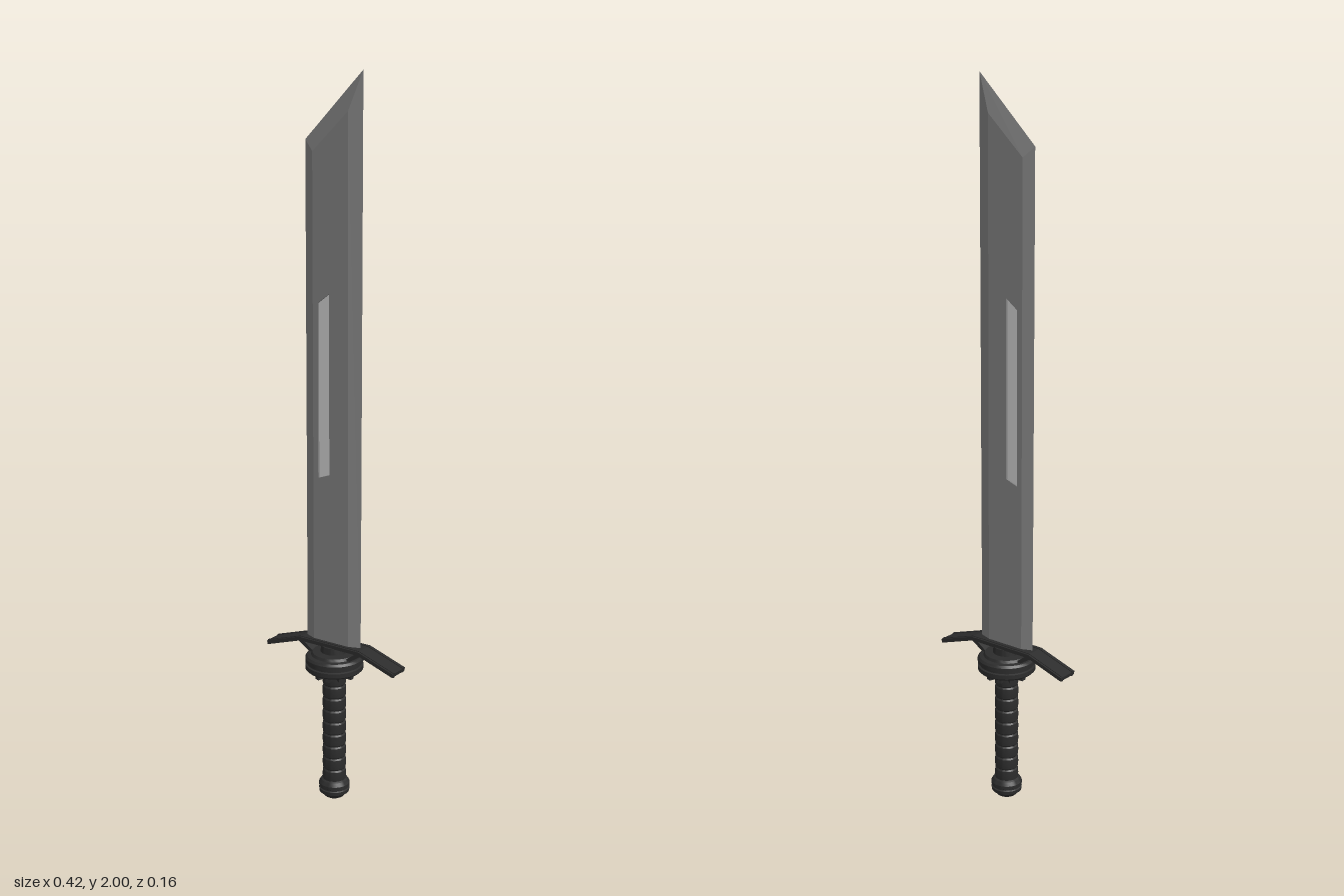
import * as THREE from 'three';
import { toCreasedNormals } from 'three/addons/utils/BufferGeometryUtils.js';

const steel = new THREE.MeshStandardMaterial({ color: 0x808080 });
const inlay = new THREE.MeshStandardMaterial({ color: 0xbcbcbc });
const dark = new THREE.MeshStandardMaterial({ color: 0x2c2c2c });

function add(parent, name, geometry, material) {
  const mesh = new THREE.Mesh(geometry, material);
  mesh.name = name;
  parent.add(mesh);
  return mesh;
}

function turned(points, segments = 40) {
  const profile = points.map(([r, y]) => new THREE.Vector2(r, y));
  return toCreasedNormals(new THREE.LatheGeometry(profile, segments), 0.5);
}

// Flat-shaded quads; side -1 mirrors them to the back
function quads(list, side) {
  const pos = [];
  for (const q of list) {
    for (const i of side > 0 ? [0, 1, 2, 0, 2, 3] : [0, 2, 1, 0, 3, 2]) {
      pos.push(q[i][0], q[i][1], q[i][2] * side);
    }
  }
  const g = new THREE.BufferGeometry();
  g.setAttribute('position', new THREE.Float32BufferAttribute(pos, 3));
  g.computeVertexNormals();
  return g;
}

function bar(points, depth, z) {
  const shape = new THREE.Shape(points.map(([x, y]) => new THREE.Vector2(x, y)));
  const g = new THREE.ExtrudeGeometry(shape, { depth, bevelEnabled: false });
  return g.translate(0, 0, z - depth / 2);
}

function createBlade() {
  const blade = new THREE.Group();
  blade.name = 'blade';
  const t = 0.012, floor = 0.007;
  const at = (ring, z) => ring.map(([x, y]) => [x, y, z]);
  const edge = [[-0.09, 0.465], [0.087, 0.465], [0.087, 2], [-0.09, 1.825]];
  const flat = [[-0.06, 0.465], [0.053, 0.465], [0.05, 1.9], [-0.06, 1.797]];
  const slot = [[-0.044, 0.937], [-0.008, 0.95], [-0.008, 1.437], [-0.044, 1.41]];
  // From cutting edge to bevel, around the slot and down its walls
  const rings = [at(edge, 0), at(flat, t), at(slot, t), at(slot, floor)];
  const faces = [];
  for (let r = 0; r < 3; r++) {
    for (let i = 0; i < 4; i++) {
      const j = (i + 1) % 4;
      faces.push([rings[r][i], rings[r][j], rings[r + 1][j], rings[r + 1][i]]);
    }
  }
  for (const side of [1, -1]) {
    const label = side > 0 ? 'front' : 'back';
    add(blade, label + 'BladeFace', quads(faces, side), steel);
    add(blade, label + 'SlotInlay', quads([rings[3]], side), inlay);
  }
  return blade;
}

function createGuard() {
  const guard = new THREE.Group();
  guard.name = 'guard';

  // Round collar with a groove and a stepped top
  add(guard, 'guardDisc', turned([
    [0, 0.39], [0.064, 0.39], [0.075, 0.393], [0.08, 0.398], [0.08, 0.41], [0.075, 0.412],
    [0.075, 0.417], [0.08, 0.419], [0.08, 0.43], [0.075, 0.436], [0.064, 0.438],
    [0.06, 0.445], [0.038, 0.447], [0.036, 0.465], [0, 0.465],
  ], 48), dark);

  // Radial ribs below the disc
  for (let i = 0; i < 10; i++) {
    const rib = add(guard, 'underRib', new THREE.BoxGeometry(0.034, 0.016, 0.014).translate(0.043, 0.384, 0), dark);
    rib.rotation.y = (i / 10) * Math.PI * 2;
  }

  // Bent crosspiece with raised rails near both long edges
  const top = [[0.21, 0.437], [0.098, 0.474], [-0.098, 0.474], [-0.21, 0.437]];
  const bent = (lift, drop) => [
    ...top.map(([x, y]) => [x, y + lift]),
    ...[...top].reverse().map(([x, y]) => [x * 0.99, y - drop]),
  ];
  add(guard, 'crosspiece', bar(bent(0, 0.01), 0.061, -0.001), dark);
  for (const z of [-0.023, 0.021]) add(guard, 'crosspieceRail', bar(bent(0.002, 0.012), 0.007, z), dark);

  // Slanted braces between the disc and the crosspiece
  for (const s of [1, -1]) {
    const brace = [[0.05, 0.438], [0.068, 0.438], [0.108, 0.464], [0.09, 0.466]];
    add(guard, 'brace', bar(brace.map(([x, y]) => [x * s, y]), 0.05, 0), dark);
  }
  return guard;
}

function createHilt() {
  const hilt = new THREE.Group();
  hilt.name = 'hilt';

  // Grip with rounded wrap bands
  const grip = [];
  const bands = 9, y0 = 0.06, h = 0.325 / bands;
  for (let i = 0; i < bands; i++) {
    const y = y0 + i * h;
    grip.push([0.029, y], [0.032, y + h * 0.12], [0.033, y + h * 0.5], [0.032, y + h * 0.88]);
  }
  grip.push([0.029, y0 + bands * h]);
  add(hilt, 'grip', turned(grip, 32), dark);

  // Pommel with a groove and a small end nub
  add(hilt, 'pommel', turned([
    [0, 0], [0.011, 0.002], [0.012, 0.01], [0.028, 0.012], [0.035, 0.02], [0.042, 0.026],
    [0.043, 0.036], [0.04, 0.038], [0.04, 0.042], [0.043, 0.044], [0.043, 0.052],
    [0.037, 0.062], [0.03, 0.066], [0, 0.066],
  ], 32), dark);
  return hilt;
}

export function createModel() {
  const model = new THREE.Group();
  model.name = 'sword';
  model.add(createBlade(), createGuard(), createHilt());
  return model;
}
